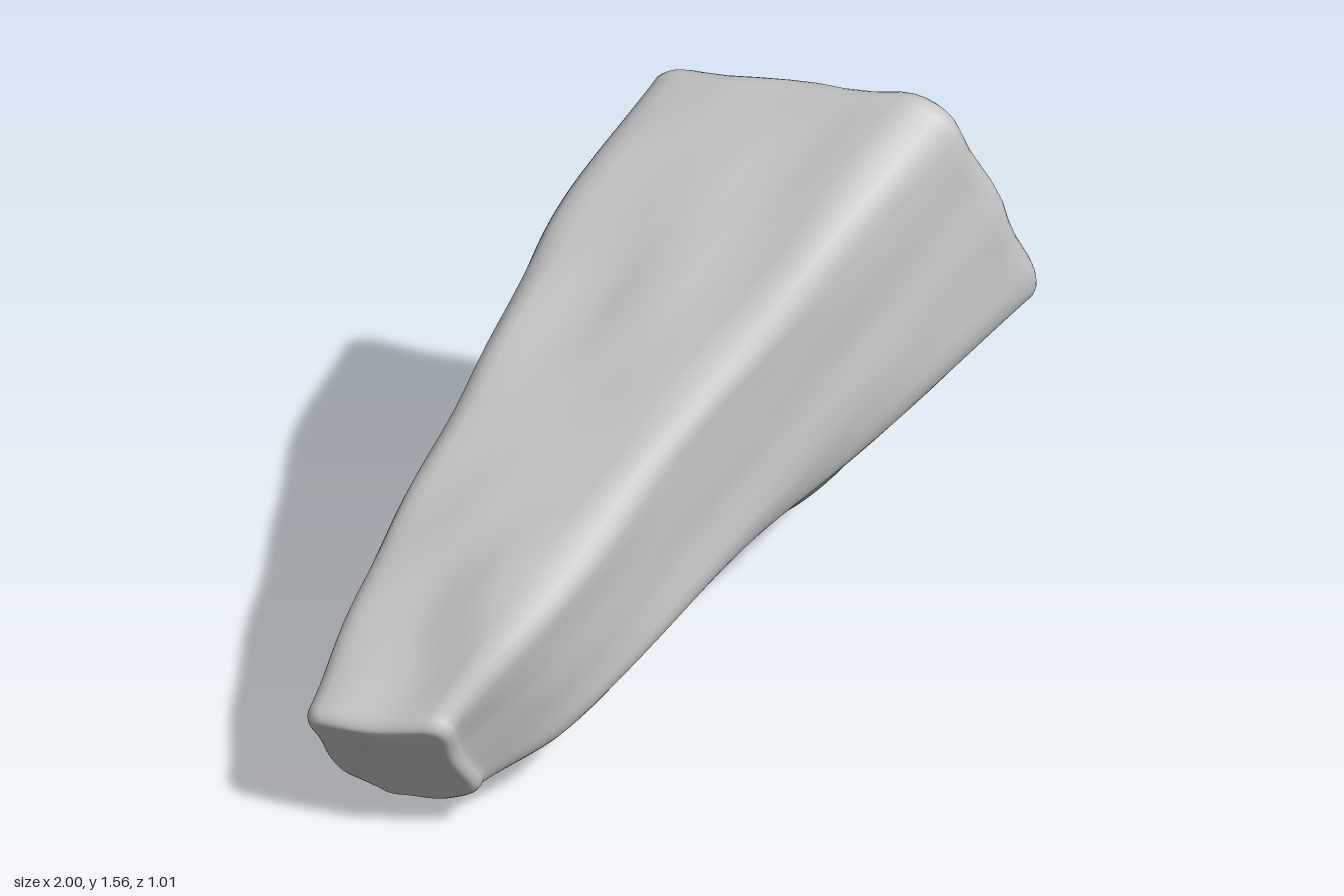
import * as THREE from 'three';

// Long ridges of the rock, from the small low end to the broad high end
const RIDGES = [
  [[-.78, .45, .50], [-.56, .66, .51], [-.1, 1.0, .405], [.35, 1.33, .345], [.70, 1.575, .27]],   // top front
  [[-1.0, .36, .18], [-.65, .69, -.03], [-.3, .97, -.21], [.02, 1.23, -.37], [.28, 1.375, -.46]], // top back
  [[-.83, .10, .09], [-.45, .16, 0], [-.05, .42, -.15], [.28, .58, -.34], [.58, .73, -.495]],     // bottom back
  [[-.70, -.01, .10], [-.42, .07, .16], [-.1, .35, .07], [.15, .385, .04], [.43, .355, 0],        // keel, running
    [.70, .50, -.05], [.83, .83, -.15]],                                                          // out at the end
  [[-.61, .13, .39], [-.35, .25, .41], [.05, .5, .36], [.5, .7, .30], [1.0, .90, .23]],           // bottom front
].map(r => new THREE.CatmullRomCurve3(r.map(p => new THREE.Vector3(...p))));
const KEEL = 3;
const STEPS = 60, ROUND = 6, FLAT = 7, CUT = .15;

// Five-sided cross-section with rounded corners
function section(t) {
  const c = RIDGES.map(r => r.getPoint(t)), n = c.length, pts = [];
  for (let i = 0; i < n; i++) {
    const prev = c[(i + n - 1) % n], cur = c[i], next = c[(i + 1) % n];
    const a = cur.clone().lerp(prev, CUT), b = cur.clone().lerp(next, CUT);
    const bend = new THREE.QuadraticBezierCurve3(a, cur, b);
    for (let k = 0; k < ROUND; k++) pts.push(bend.getPoint(k / ROUND));
    const end = next.clone().lerp(cur, CUT);
    for (let k = 0; k < FLAT; k++) pts.push(b.clone().lerp(end, k / FLAT));
  }
  return pts;
}

// Rings that close an end: a rounded rim, then a flat face between the four outer ridges
function capRings(ring, t, radius) {
  const [a, b, c, d] = RIDGES.filter((_, i) => i !== KEEL).map(r => r.getPoint(t));
  const centre = a.clone().add(b).add(c).add(d).multiplyScalar(.25);
  const out = c.clone().sub(a).cross(d.clone().sub(b)).normalize();
  if (out.x * (t - .5) < 0) out.negate();
  const layer = (s, lift) => ring.map(p => centre.clone().lerp(p, s).addScaledVector(out, lift));
  const rings = [];
  for (let k = 1; k <= 6; k++) {
    const f = k / 6 * Math.PI / 2;
    rings.push(layer(1 - .13 * (1 - Math.cos(f)), radius * Math.sin(f)));
  }
  for (let k = 1; k <= 10; k++) rings.push(layer(.87 * (1 - k / 10), radius));
  return rings;
}

// Gentle unevenness of the stone
function roughen({ x, y, z }) {
  return new THREE.Vector3(
    x + .006 * Math.sin(19 * y + 13 * z) + .004 * Math.sin(31 * z - 9 * y),
    y + .004 * Math.sin(9 * x + 17 * z) + .003 * Math.sin(27 * z + 5 * x),
    z + .004 * Math.sin(15 * y - 11 * x) + .003 * Math.sin(25 * y - 20 * x + 1));
}

function rockGeometry() {
  const body = Array.from({ length: STEPS + 1 }, (_, i) => section(i / STEPS));
  const rings = [...capRings(body[0], 0, .04).reverse(), ...body, ...capRings(body[STEPS], 1, .06)];
  const n = rings[0].length, index = [];
  for (let i = 0; i < rings.length - 1; i++) {
    for (let j = 0; j < n; j++) {
      const a = i * n + j, b = i * n + (j + 1) % n;
      index.push(a, a + n, b, b, a + n, b + n);
    }
  }
  const geo = new THREE.BufferGeometry().setFromPoints(rings.flat().map(roughen));
  geo.setIndex(index);
  geo.computeVertexNormals();
  return geo;
}

export function createModel() {
  const group = new THREE.Group();
  group.name = 'rock';
  const stone = new THREE.Mesh(rockGeometry(), new THREE.MeshStandardMaterial({ color: 0xcccccc }));
  stone.name = 'stoneBody';
  group.add(stone);
  return group;
}
